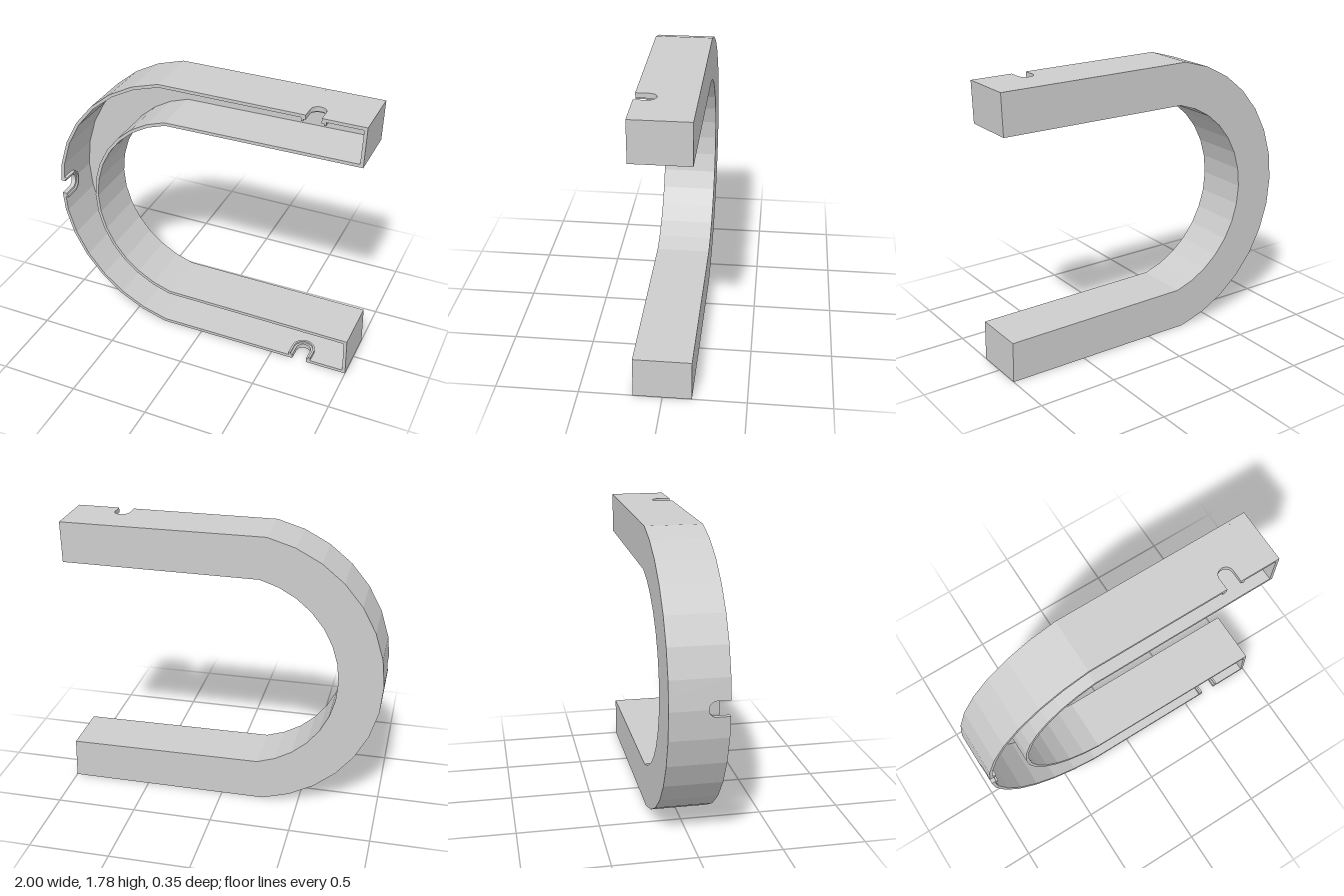
import * as THREE from 'three';

const MID = 0.8875;              // height of the symmetry line
const BACK = -0.175, FLOOR = -0.155, FRONT = 0.175;
const WALL = 0.02;               // wall thickness
const NOTCH_X = 0.69, NOTCH_Z = 0.097, HALF = 0.08; // notch centre and half panel width
const BEND = 0.098;              // slope of the wall beside the leftmost corner

const vec = (x, y) => new THREE.Vector2(x, y);

// quarter of the faceted bend, from the left end up to the straight leg
function bend(cx, radius, endDeg, first = 0) {
  const pts = [];
  for (let i = first; i <= 7; i++) {
    const a = THREE.MathUtils.degToRad(180 + (endDeg - 180) * i / 7);
    pts.push(vec(cx + radius * Math.cos(a), radius * Math.sin(a)));
  }
  return pts;
}
const outerBend = (inset, first) => bend(-0.0955, 0.9045 - inset, 101.1, first);
const innerBend = (inset, first) => bend(-0.086, 0.639 + inset, 103.1, first);

function extrude(pts, depth) {
  return new THREE.ExtrudeGeometry(new THREE.Shape(pts), { depth, bevelEnabled: false });
}

// half of a notch arch: points from the straight side down to the centre line
function arch(r, side) {
  const pts = [vec(side * r, FRONT)];
  for (let i = 0; i <= 8; i++) {
    const a = i / 8 * Math.PI / 2;
    pts.push(vec(side * r * Math.cos(a), NOTCH_Z - r * Math.sin(a)));
  }
  return pts;
}

export function createModel() {
  const group = new THREE.Group();
  const grey = new THREE.MeshStandardMaterial({ color: 0xcccccc });
  grey.name = 'light grey';

  const add = (name, geometry, parent = group) => {
    const mesh = new THREE.Mesh(geometry, grey);
    mesh.name = name;
    parent.add(mesh);
  };

  // back plate: the full outline
  const upper = [...outerBend(0), vec(1, MID), vec(0.994, 0.632), ...innerBend(0).reverse()];
  const o = outerBend(0), n = innerBend(0);
  const flip = (pts) => pts.map((p) => vec(p.x, -p.y));
  const outline = [
    ...upper,
    ...flip(n.slice(1)), vec(0.994, -0.632), vec(1, -MID), ...flip(o.slice(1)).reverse(),
  ];
  add('backPlate', extrude(outline, FLOOR - BACK).translate(0, MID, BACK));

  // side walls, mirrored about the middle height, with gaps for the notch panels
  const x0 = NOTCH_X - HALF, x1 = NOTCH_X + HALF;
  const outerWall = [
    vec(-1 + BEND * HALF, HALF), ...outerBend(0, 1), vec(x0, MID),
    vec(x0, MID - WALL), ...outerBend(WALL, 1).reverse(), vec(-1 + WALL + BEND * HALF, HALF),
  ];
  const innerWall = [
    vec(x1, MID), vec(1, MID), vec(0.994, 0.632), ...innerBend(0).reverse(),
    ...innerBend(WALL), vec(0.974, 0.652), vec(0.98, MID - WALL), vec(x1, MID - WALL),
  ];
  for (const [name, pts] of [['outerWall', outerWall], ['innerWallAndEnd', innerWall]]) {
    for (const sy of [1, -1]) {
      const half = pts.map((p) => vec(p.x, sy * p.y));
      add((sy > 0 ? 'upper ' : 'lower ') + name,
        extrude(half, FRONT - FLOOR).translate(0, MID, FLOOR));
    }
  }

  // cable notches: local axes are along the wall, depth of the tray, inward
  const V = (x, y, z) => new THREE.Vector3(x, y, z);
  const notches = [
    { name: 'topNotch', at: V(NOTCH_X, 2 * MID, 0), along: V(1, 0, 0), inward: V(0, -1, 0), slope: 0 },
    { name: 'bottomNotch', at: V(NOTCH_X, 0, 0), along: V(-1, 0, 0), inward: V(0, 1, 0), slope: 0 },
    { name: 'sideNotch', at: V(-1, MID, 0), along: V(0, 1, 0), inward: V(1, 0, 0), slope: BEND },
  ];
  for (const { name, at, along, inward, slope } of notches) {
    const notch = new THREE.Group();
    notch.name = name;
    group.add(notch);
    for (const side of [1, -1]) {
      const matrix = new THREE.Matrix4().makeBasis(
        along.clone().addScaledVector(inward, side * slope), V(0, 0, 1), inward).setPosition(at);

      // wall panel with half of the slot cut out
      const panel = [...arch(0.047, side), vec(0, FLOOR), vec(side * HALF, FLOOR), vec(side * HALF, FRONT)];
      add('slottedPanel', extrude(panel, WALL).applyMatrix4(matrix), notch);

      // stepped collar on the inside of the wall
      for (const [r0, r1, depth] of [[0.047, 0.061, 0.01], [0.061, 0.074, 0.022]]) {
        const ring = [...arch(r0, side), ...arch(r1, side).reverse()];
        add('collarStep', extrude(ring, depth).translate(0, 0, WALL).applyMatrix4(matrix), notch);
      }
    }
  }
  return group;
}
